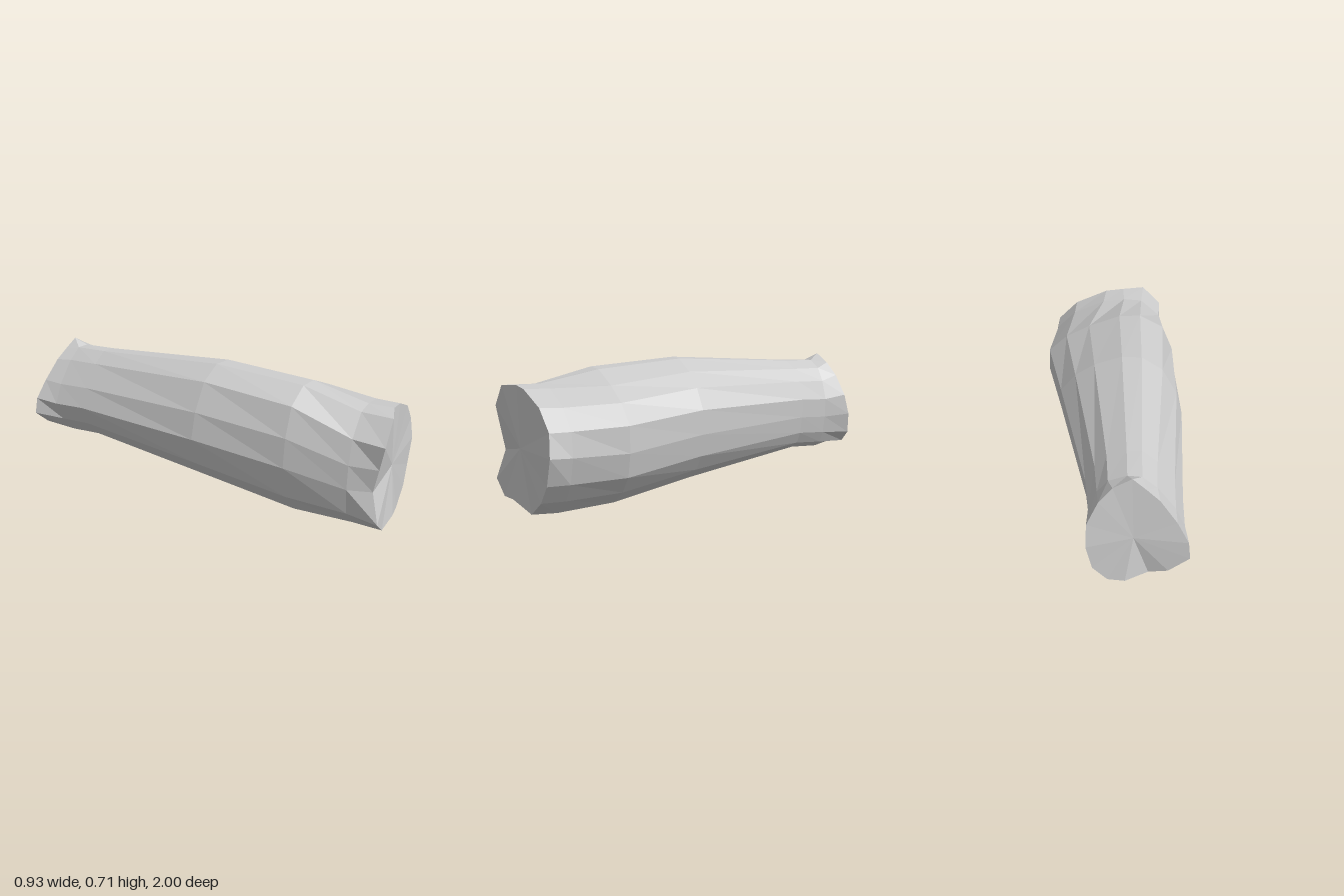
import * as THREE from 'three';

// 15-sided outlines in a -1..1 box, counter-clockwise from the +x side:
// one for the broad front of the body, one for its narrow back
const FRONT_OUTLINE = [
  [1, -0.15], [0.99, 0.25], [0.71, 0.55], [0.35, 0.77], [-0.12, 0.98], [-0.44, 1], [-0.79, 0.79],
  [-0.95, 0.35], [-1, -0.1], [-0.9, -0.61], [-0.62, -0.94], [-0.1, -0.98], [0.4, -1],
  [0.72, -0.78], [0.92, -0.52],
];
const BACK_OUTLINE = [
  [0.98, -0.24], [1, 0.16], [0.82, 0.56], [0.59, 0.84], [0.2, 1], [-0.1, 1], [-0.41, 0.78],
  [-0.8, 0.32], [-1, -0.08], [-0.8, -0.48], [-0.45, -0.82], [0.05, -1], [0.5, -0.96],
  [0.75, -0.84], [0.9, -0.6],
];

// Body stations, front to back: z, left edge, right edge, bottom, top, slant of z across x
const STATIONS = [
  [0.51, -0.285, 0.435, 0.025, 0.677, -0.08],
  [0.05, -0.36, 0.29, 0.092, 0.713, 0],
  [-0.65, -0.41, 0.05, 0.178, 0.675, 0],
  [-0.82, -0.43, 0.01, 0.17, 0.672, 0],
];

// Uneven rims of the two ends
const FRONT_RIM = [
  [0.465, 0.305, 0.87], [0.44, 0.42, 0.865], [0.335, 0.525, 0.885], [0.16, 0.597, 0.92],
  [0.06, 0.608, 0.935], [-0.055, 0.6, 0.985], [-0.155, 0.49, 1], [-0.157, 0.375, 0.978],
  [-0.16, 0.26, 0.955], [-0.185, 0.11, 1], [-0.085, 0.035, 0.98], [0.065, 0.047, 0.965],
  [0.23, 0.003, 0.91], [0.35, 0.08, 0.89], [0.415, 0.17, 0.875],
];
const BACK_RIM = [
  [0, 0.37, -0.98], [0, 0.48, -0.95], [-0.05, 0.59, -0.92], [-0.11, 0.66, -0.895],
  [-0.195, 0.708, -0.88], [-0.26, 0.66, -0.89], [-0.32, 0.612, -0.9], [-0.4, 0.51, -0.92],
  [-0.455, 0.415, -0.94], [-0.465, 0.33, -0.95], [-0.37, 0.25, -0.96], [-0.28, 0.22, -0.95],
  [-0.18, 0.2, -1], [-0.1, 0.2, -1], [-0.03, 0.26, -0.995],
];

// Slanted ring just behind the front rim (x, y)
const NECK = [
  [0.445, 0.3], [0.43, 0.42], [0.33, 0.52], [0.16, 0.595], [0.04, 0.61], [-0.06, 0.6],
  [-0.165, 0.5], [-0.2, 0.38], [-0.21, 0.26], [-0.195, 0.13], [-0.1, 0.04], [0.04, 0.015],
  [0.23, 0], [0.345, 0.08], [0.41, 0.17],
];
const neckRing = NECK.map(([x, y]) => [x, y, 0.8 - 0.13 * (x - 0.12)]);

// Blends the outlines from front to back and fits them into one station's box
function stationRing([z, left, right, bottom, top, slant]) {
  const cx = (left + right) / 2, cy = (bottom + top) / 2;
  const hw = (right - left) / 2, hh = (top - bottom) / 2;
  const t = (0.51 - z) / 1.33;
  return FRONT_OUTLINE.map(([fu, fv], i) => {
    const [bu, bv] = BACK_OUTLINE[i];
    const u = THREE.MathUtils.lerp(fu, bu, t), v = THREE.MathUtils.lerp(fv, bv, t);
    return [cx + u * hw, cy + v * hh, z + slant * u * hw];
  });
}

function facetedMesh(name, triangles) {
  const geometry = new THREE.BufferGeometry();
  geometry.setAttribute('position', new THREE.Float32BufferAttribute(triangles.flat(2), 3));
  geometry.computeVertexNormals();
  const mesh = new THREE.Mesh(geometry, new THREE.MeshStandardMaterial({ color: 0xcccccc, flatShading: true }));
  mesh.name = name;
  return mesh;
}

// Joins successive rings with facets
function loft(rings) {
  const triangles = [];
  for (let r = 0; r < rings.length - 1; r++) {
    const a = rings[r], b = rings[r + 1];
    for (let i = 0; i < a.length; i++) {
      const j = (i + 1) % a.length;
      triangles.push([a[i], b[i], a[j]], [b[i], b[j], a[j]]);
    }
  }
  return triangles;
}

// Closes a ring with a fan around a centre point
function fan(ring, centre, facesBack) {
  return ring.map((p, i) => {
    const q = ring[(i + 1) % ring.length];
    return facesBack ? [centre, q, p] : [centre, p, q];
  });
}

export function createModel() {
  const model = new THREE.Group();
  model.name = 'taperedLimb';
  const rings = [FRONT_RIM, neckRing, ...STATIONS.map(stationRing), BACK_RIM];
  model.add(
    facetedMesh('limbBody', loft(rings)),
    facetedMesh('frontEnd', fan(FRONT_RIM, [0.095, 0.302, 0.93], false)),
    facetedMesh('backEnd', fan(BACK_RIM, [-0.21, 0.42, -0.945], true)),
  );
  return model;
}
